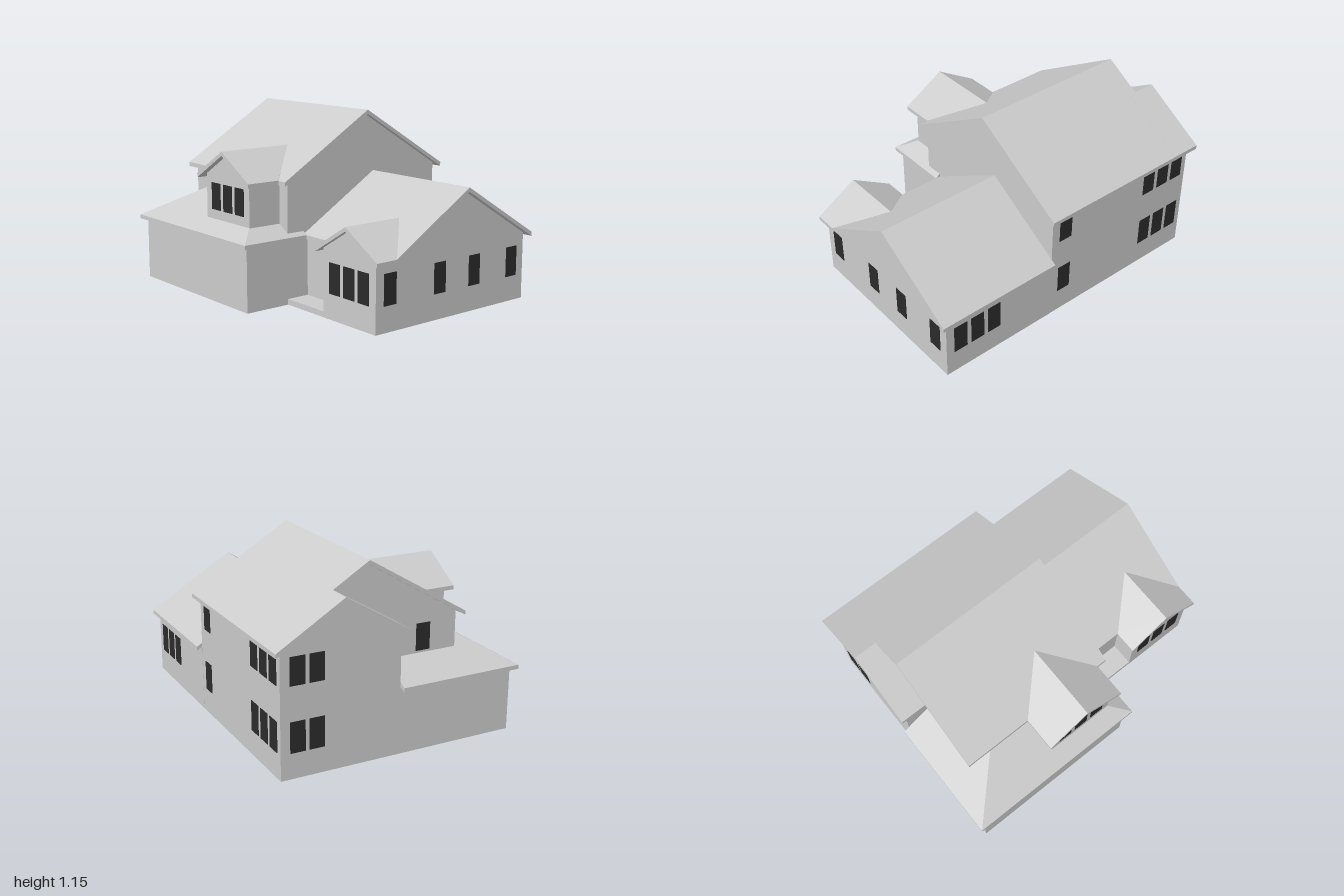
import * as THREE from 'three';

const SLOPE = 0.6, THICK = 0.026;
const wallMat = new THREE.MeshStandardMaterial({ color: 0xcccccc, flatShading: true });
const glassMat = new THREE.MeshStandardMaterial({ color: 0x2b2b2b });

export function createModel() {
  const house = new THREE.Group();
  house.name = 'house';

  const add = (name, geometry, material = wallMat) => {
    const mesh = new THREE.Mesh(geometry, material);
    mesh.name = name;
    house.add(mesh);
    return mesh;
  };

  // Box given by its minimum and maximum corners
  const box = (name, x0, x1, y0, y1, z0, z1, material) =>
    add(name, new THREE.BoxGeometry(x1 - x0, y1 - y0, z1 - z0), material)
      .position.set((x0 + x1) / 2, (y0 + y1) / 2, (z0 + z1) / 2);

  // Convex roof plane, thickened straight down
  const slab = (name, corners) => {
    let top = corners.map((c) => new THREE.Vector3(...c));
    const n = top[1].clone().sub(top[0]).cross(top[2].clone().sub(top[0]));
    if (n.y < 0) top.reverse();
    const low = top.map((p) => p.clone().setY(p.y - THICK));
    const tris = [];
    top.forEach((p, i) => {
      const j = (i + 1) % top.length;
      if (i > 0 && j > 0) tris.push(top[0], p, top[j], low[0], low[j], low[i]);
      tris.push(p, low[i], low[j], p, low[j], top[j]);
    });
    const geometry = new THREE.BufferGeometry().setFromPoints(tris);
    geometry.computeVertexNormals();
    add(name, geometry);
  };

  // Gabled block: pentagon wall along an axis, with two roof slabs.
  // c: ridge line, half: half wall width, from/to: wall ends,
  // over: half roof width, r0/r1: roof ends, valley: roof end at the eaves
  const gable = (name, o) => {
    const side = o.ridge - SLOPE * o.half - 0.02;
    const shape = new THREE.Shape([
      [-o.half, o.base], [o.half, o.base], [o.half, side], [0, o.ridge - 0.02], [-o.half, side],
    ].map((p) => new THREE.Vector2(...p)));
    const wall = new THREE.ExtrudeGeometry(shape, { depth: o.to - o.from, bevelEnabled: false });
    if (o.axis === 'x') wall.rotateY(-Math.PI / 2).translate(o.to, 0, o.c);
    else wall.translate(o.c, 0, o.from);
    add(name + 'Walls', wall);

    const eave = o.ridge - SLOPE * o.over;
    const at = (across, y, along) => (o.axis === 'x' ? [along, y, across] : [across, y, along]);
    for (const s of [-1, 1]) {
      slab(name + 'Roof', [
        at(o.c, o.ridge, o.r0), at(o.c, o.ridge, o.r1),
        at(o.c + s * o.over, eave, o.r1), at(o.c + s * o.over, eave, o.valley ?? o.r0),
      ]);
    }
  };

  // Two-storey block, its side bay and the one-storey wing
  gable('mainBlock', { axis: 'x', c: -0.146, half: 0.605, base: 0, ridge: 1.147, from: -0.81, to: 0.17, over: 0.646, r0: -0.85, r1: 0.203 });
  gable('sideBay', { axis: 'x', c: -0.376, half: 0.375, base: 0, ridge: 1.01, from: -0.96, to: -0.8, over: 0.416, r0: -1, r1: -0.8 });
  gable('wing', { axis: 'x', c: -0.222, half: 0.53, base: 0, ridge: 0.757, from: 0.17, to: 0.96, over: 0.563, r0: 0.17, r1: 1 });

  // Front-facing gables, their roofs running back into the larger slopes
  gable('upperDormer', { axis: 'z', c: -0.135, half: 0.225, base: 0.4, ridge: 0.925, from: 0.4, to: 0.68, over: 0.272, r0: 0.225, r1: 0.72, valley: 0.5 });
  gable('frontBay', { axis: 'z', c: 0.735, half: 0.225, base: 0, ridge: 0.577, from: 0.3, to: 0.46, over: 0.265, r0: 0.08, r1: 0.49, valley: 0.34 });

  // Ground-floor front block with hipped skirt roof
  box('frontBlock', -0.96, 0.17, 0, 0.41, -0.01, 0.76);
  slab('hipRoofFront', [[-1, 0.42, 0.795], [0.203, 0.42, 0.795], [-0.132, 0.621, 0.46], [-0.665, 0.621, 0.46]]);
  slab('hipRoofRight', [[0.203, 0.42, 0.795], [0.203, 0.42, 0.34], [-0.132, 0.621, 0.34], [-0.132, 0.621, 0.46]]);
  slab('hipRoofLeft', [[-1, 0.42, 0.795], [-0.665, 0.621, 0.46], [-0.665, 0.621, 0], [-1, 0.42, 0]]);

  // Entry porch
  box('porchStep', 0.17, 0.51, 0, 0.035, 0.3, 0.459);

  // Windows: start position of each pane along the wall
  const LOW = [0.155, 0.34], HIGH = [0.548, 0.715], W = 0.093, D = 0.003;
  const windowsZ = (name, z, [y0, y1], starts) =>
    starts.forEach((x) => box(name, x, x + W, y0, y1, z - D, z + D, glassMat));
  const windowsX = (name, x, [y0, y1], starts) =>
    starts.forEach((z) => box(name, x - D, x + D, y0, y1, z, z + W, glassMat));

  windowsZ('dormerWindow', 0.68, HIGH, [-0.304, -0.181, -0.058]);
  windowsZ('frontBayWindow', 0.46, LOW, [0.565, 0.688, 0.811]);
  windowsZ('wingBackWindow', -0.752, LOW, [0.565, 0.688, 0.811]);
  windowsX('wingSideWindow', 0.96, LOW, [0.308, -0.08, -0.366, -0.693]);
  for (const level of [LOW, HIGH]) {
    windowsZ('backWindow', -0.751, level, [0.02, -0.675, -0.798, -0.92]);
    windowsX('sideBayWindow', -0.96, level, [-0.693, -0.575]);
  }
  windowsX('upperSideWindow', -0.81, HIGH, [0.19]);

  return house;
}
